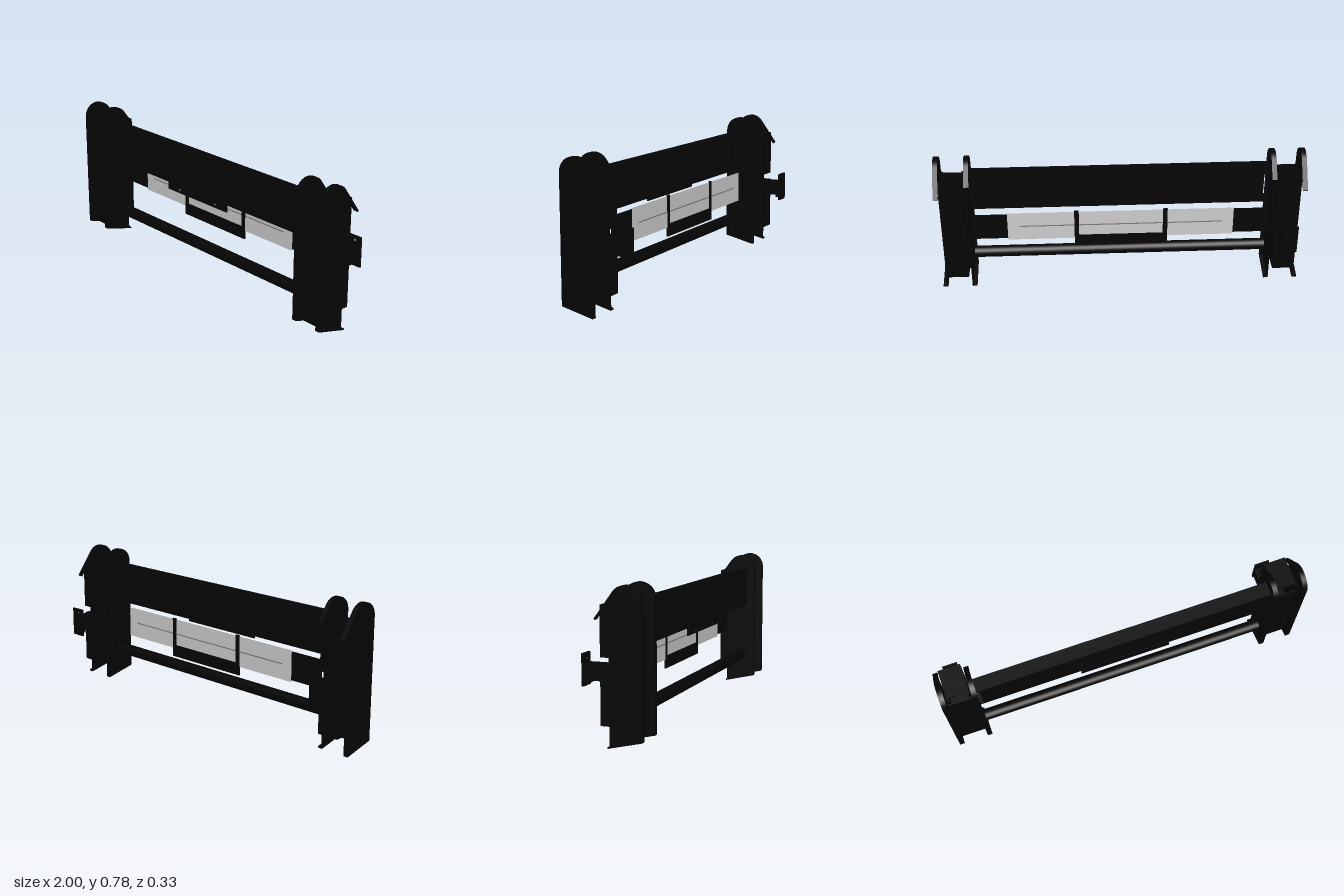
import * as THREE from 'three';

const black = new THREE.MeshStandardMaterial({ color: 0x050505, side: THREE.DoubleSide });
const grey = new THREE.MeshStandardMaterial({ color: 0xcccccc, side: THREE.DoubleSide });
const dark = new THREE.MeshStandardMaterial({ color: 0x777777 });

function add(parent, name, geometry, material = black) {
  const mesh = new THREE.Mesh(geometry, material);
  mesh.name = name;
  parent.add(mesh);
  return mesh;
}

// Box given by its limits on each axis
function block(parent, name, [x0, x1], [y0, y1], [z0, z1], material = black) {
  const mesh = add(parent, name, new THREE.BoxGeometry(x1 - x0, y1 - y0, z1 - z0), material);
  mesh.position.set((x0 + x1) / 2, (y0 + y1) / 2, (z0 + z1) / 2);
  return mesh;
}

const extrude = (shape, depth) =>
  new THREE.ExtrudeGeometry(shape, { depth, bevelEnabled: false, curveSegments: 20 });

function polygon(points) {
  return new THREE.Shape(points.map(([x, y]) => new THREE.Vector2(x, y)));
}

// Flat plate facing z with bolt holes given as [x, y]
function drilledPlate(parent, name, [x0, x1], [y0, y1], [z0, z1], holes) {
  const shape = polygon([[x0, y0], [x1, y0], [x1, y1], [x0, y1]]);
  for (const [x, y] of holes) {
    const hole = new THREE.Path();
    hole.absarc(x, y, 0.009, 0, Math.PI * 2, true);
    shape.holes.push(hole);
  }
  add(parent, name, extrude(shape, z1 - z0)).position.z = z0;
}

// Extrudes a (z, y) profile along x from x0 to x1
function sideways(parent, name, shape, x0, x1) {
  const mesh = add(parent, name, extrude(shape, x1 - x0));
  mesh.rotation.y = -Math.PI / 2;
  mesh.position.x = x1;
}

// Thin sheet with a flange along foot, front, round head and sloping tail
function sidePlate(parent, name, sheetX, flangeX, tailTip) {
  const end = Math.PI * 0.8;
  const sheet = new THREE.Shape();
  sheet.moveTo(-0.01, 0.003);
  sheet.lineTo(0.165, 0.042);
  sheet.lineTo(0.165, 0.7);
  sheet.absarc(0.084, 0.698, 0.081, 0, end, false);
  sheet.lineTo(-0.03, 0.68);
  sheet.lineTo(-0.01, 0.66);
  sheet.closePath();
  sideways(parent, name + 'Sheet', sheet, ...sheetX);

  const [z, y] = tailTip;
  const flange = new THREE.Shape();
  flange.moveTo(-0.011, 0.001);
  flange.lineTo(0.165, 0.042);
  flange.lineTo(0.165, 0.7);
  flange.absarc(0.084, 0.698, 0.081, 0, end, false);
  flange.lineTo(z, y);
  flange.lineTo(z + 0.006, y - 0.006);
  flange.absarc(0.084, 0.698, 0.073, end, 0, true);
  flange.lineTo(0.157, 0.048);
  flange.lineTo(-0.011, 0.009);
  flange.closePath();
  sideways(parent, name + 'Flange', flange, ...flangeX);
}

function buildUpright() {
  const g = new THREE.Group();
  sidePlate(g, 'outerSide', [0.973, 0.979], [0.973, 1], [-0.076, 0.617]);
  sidePlate(g, 'innerSide', [0.831, 0.837], [0.81, 0.837], [-0.04, 0.667]);

  // Mounting face between the side plates
  drilledPlate(g, 'frontFace', [0.837, 0.973], [0.035, 0.62], [0.112, 0.12],
    [[0.905, 0.1], [0.905, 0.42]]);

  // Two hollow boxes stacked with a gap
  for (const [y0, y1, hole] of [[0.43, 0.68, 0.62], [0.1, 0.39, 0.13]]) {
    drilledPlate(g, 'boxBack', [0.847, 0.967], [y0, y1], [-0.06, -0.052], [[0.905, hole]]);
    for (const x of [0.847, 0.959])
      block(g, 'boxWall', [x, x + 0.008], [y0, y1], [-0.06, 0.112]);
    for (const y of [y0, y1 - 0.008])
      block(g, 'boxCap', [0.847, 0.967], [y, y + 0.008], [-0.06, 0.1]);
  }

  // Rear arm with end plate
  block(g, 'rearArm', [0.867, 0.95], [0.312, 0.39], [-0.156, -0.05]);
  block(g, 'armFoot', [0.88, 0.937], [0.296, 0.314], [-0.156, -0.132]);
  drilledPlate(g, 'armEndPlate', [0.867, 0.95], [0.28, 0.44], [-0.165, -0.155], [[0.908, 0.415]]);
  return g;
}

export function createModel() {
  const model = new THREE.Group();
  model.name = 'rearBarAssembly';

  // Uprights, mirrored
  const left = buildUpright();
  left.name = 'leftUpright';
  const right = buildUpright();
  right.name = 'rightUpright';
  right.scale.x = -1;
  model.add(left, right);

  // Main cross beam: lipped channel open at the back
  const beam = new THREE.Group();
  beam.name = 'crossBeam';
  block(beam, 'beamWeb', [-0.795, 0.815], [0.48, 0.69], [0.113, 0.12]);
  block(beam, 'beamTopFlange', [-0.815, 0.815], [0.685, 0.692], [0.045, 0.12]);
  block(beam, 'beamBottomFlange', [-0.815, 0.815], [0.478, 0.485], [0.045, 0.12]);
  block(beam, 'beamTopLip', [-0.815, 0.815], [0.652, 0.692], [0.045, 0.052]);
  block(beam, 'beamBottomLip', [-0.815, 0.815], [0.478, 0.502], [0.045, 0.052]);
  model.add(beam);

  // Lower round tube
  const tube = add(model, 'lowerTube', new THREE.CylinderGeometry(0.032, 0.032, 1.63, 24));
  tube.rotation.z = Math.PI / 2;
  tube.position.set(0, 0.17, 0.085);

  // Thin panels behind the beam
  for (const s of [-1, 1]) {
    const wing = add(model, 'endPanel', new THREE.PlaneGeometry(0.2, 0.155));
    wing.position.set(s * 0.718, 0.393, -0.005);
  }
  const panel = add(model, 'lightPanel', new THREE.PlaneGeometry(1.24, 0.17), grey);
  panel.position.set(0, 0.39, -0.005);
  block(model, 'panelRib', [-0.555, 0.555], [0.388, 0.393], [-0.008, -0.002], dark);

  // Frame around the middle of the panel, open at the top
  const frame = polygon([
    [-0.255, 0.48], [-0.255, 0.258], [0.255, 0.258], [0.255, 0.48],
    [0.23, 0.48], [0.23, 0.325], [-0.23, 0.325], [-0.23, 0.48],
  ]);
  add(model, 'panelFrame', extrude(frame, 0.008)).position.z = -0.009;

  // Mounting strip hanging from the front of the beam
  drilledPlate(model, 'mountingStrip', [-0.25, 0.25], [0.438, 0.5], [0.115, 0.122],
    [[-0.15, 0.456], [0.15, 0.456]]);

  return model;
}
